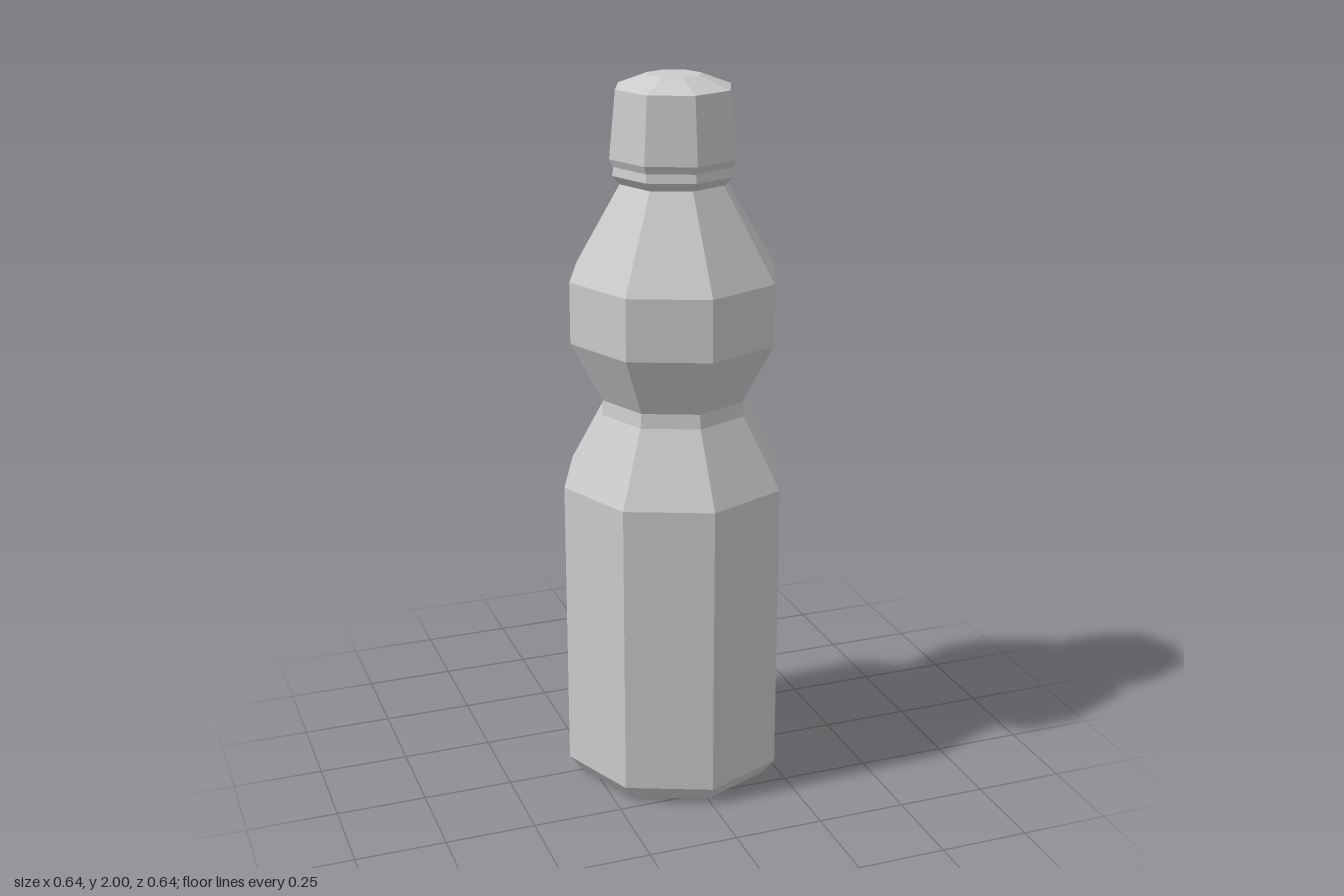
import * as THREE from 'three';

const SIDES = 8;
const material = new THREE.MeshStandardMaterial({ color: 0xcccccc, flatShading: true });

// Faceted turned part from [radius, height] pairs, listed bottom to top
function turned(name, profile) {
  const points = profile.map(([r, y]) => new THREE.Vector2(r, y));
  const geometry = new THREE.LatheGeometry(points, SIDES).toNonIndexed();
  geometry.computeVertexNormals();
  const mesh = new THREE.Mesh(geometry, material);
  mesh.name = name;
  return mesh;
}

export function createModel() {
  const bottle = new THREE.Group();
  bottle.name = 'bottle';

  // Body: bevelled base, straight sides, pinched waist, bulge and shoulder
  bottle.add(turned('body', [
    [0, 0], [0.28, 0], [0.32, 0.05], [0.32, 0.885],
    [0.21, 1.085], [0.205, 1.125],
    [0.295, 1.295], [0.295, 1.465], [0.145, 1.72], [0, 1.72],
  ]));

  // Seal ring under the cap
  bottle.add(turned('sealRing', [
    [0, 1.718], [0.15, 1.718], [0.172, 1.742], [0.168, 1.768], [0, 1.768],
  ]));

  // Cap: short flared lip, tapered sides and a shallow faceted top
  bottle.add(turned('cap', [
    [0, 1.766], [0.17, 1.766], [0.18, 1.787], [0.162, 1.967], [0.075, 2], [0, 2],
  ]));

  return bottle;
}
